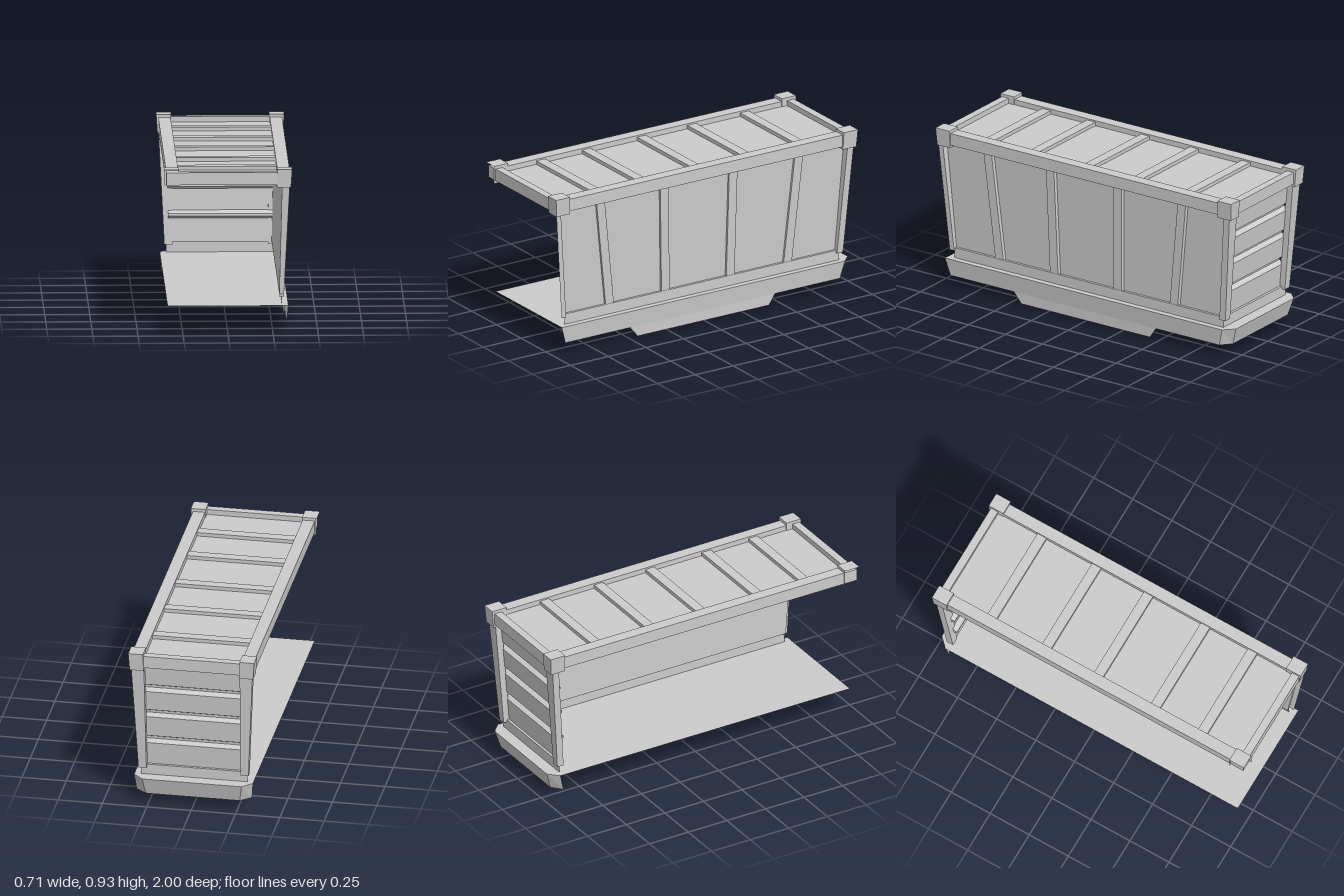
import * as THREE from 'three';

const lerp = (a, b, t) => a + (b - a) * t;
const mat = new THREE.MeshStandardMaterial({ color: 0xcccccc, flatShading: true, side: THREE.DoubleSide });

// Sheet stretched between successive rows of points
function sheet(name, rows) {
  const p = [];
  for (let r = 0; r < rows.length - 1; r++) {
    for (let i = 0; i < rows[r].length - 1; i++) {
      const a = rows[r][i], b = rows[r][i + 1], c = rows[r + 1][i + 1], d = rows[r + 1][i];
      p.push(...a, ...d, ...c, ...a, ...c, ...b);
    }
  }
  const g = new THREE.BufferGeometry();
  g.setAttribute('position', new THREE.Float32BufferAttribute(p, 3));
  g.computeVertexNormals();
  const m = new THREE.Mesh(g, mat);
  m.name = name;
  return m;
}

// Closed rectangle loop at height y, spanning [x0, x1, z0, z1]
const loop = (y, [x0, x1, z0, z1]) =>
  [[x0, y, z0], [x0, y, z1], [x1, y, z1], [x1, y, z0], [x0, y, z0]];

// Tapered block between two rectangles, capped at both ends
function block(name, y0, r0, y1, r1) {
  const mid = (y, r) => loop(y, [(r[0] + r[1]) / 2, (r[0] + r[1]) / 2, (r[2] + r[3]) / 2, (r[2] + r[3]) / 2]);
  return sheet(name, [mid(y0, r0), loop(y0, r0), loop(y1, r1), mid(y1, r1)]);
}

export function createModel() {
  const root = new THREE.Group();
  const add = (...a) => root.add(...a);

  // Wall levels and their outward lean
  const yB = 0.22, yT = 0.845;
  const t = y => (y - yB) / (yT - yB);
  const wallX = y => lerp(0.285, 0.30, t(y));
  const backZ = y => lerp(-0.895, -0.945, t(y));
  const frontZ = y => lerp(0.91, 0.965, t(y));

  // Floor with clipped back corners
  add(sheet('floor', [
    [[-0.335, 0.16, 0.95], [-0.335, 0.16, -0.925], [-0.28, 0.16, -0.98]],
    [[0.335, 0.16, 0.95], [0.335, 0.16, -0.925], [0.28, 0.16, -0.98]],
  ]));

  // Base skirt along the left side and the back
  add(sheet('baseSkirt', [
    [[0.335, 0.16, 0.95], [0.335, 0.16, -0.925], [0.28, 0.16, -0.98], [-0.28, 0.16, -0.98], [-0.335, 0.16, -0.925]],
    [[0.325, 0.06, 0.92], [0.325, 0.06, -0.90], [0.265, 0.06, -0.95], [-0.265, 0.06, -0.95], [-0.325, 0.06, -0.90]],
  ]));
  add(sheet('skirtFoot', [
    [[0.325, 0.06, 0.49], [0.325, 0.06, -0.47]],
    [[0.325, 0, 0.44], [0.325, 0, -0.43]],
  ]));

  // Low plinth with a small ledge under the walls
  const plinth = (y, x, z) => [[x, y, 0.91], [x, y, z], [-x, y, z]];
  add(sheet('plinth', [plinth(0.16, 0.30, -0.91), plinth(yB, 0.30, -0.91), plinth(yB, 0.285, -0.895)]));

  // Side wall
  add(sheet('sideWall', [yB, yT].map(y => [[wallX(y), y, frontZ(y)], [wallX(y), y, backZ(y)]])));

  // Side ribs fanning outward: [bottom z, top z] of the front edge
  for (const [zb, zt] of [[0.635, 0.705], [0.265, 0.282], [-0.165, -0.175], [-0.545, -0.61]]) {
    const rib = (y, z) => [
      [wallX(y), y, z], [wallX(y) + 0.013, y, z],
      [wallX(y) + 0.013, y, z - 0.054], [wallX(y), y, z - 0.062],
    ];
    add(sheet('sideRib', [rib(yB, zb), rib(yT, zt)]));
  }

  // Back wall with three horizontal grooves
  const profile = [[yB, 0]];
  for (const y of [0.35, 0.515, 0.675]) {
    profile.push([y, 0], [y + 0.016, 0.03], [y + 0.03, 0.03], [y + 0.046, 0]);
  }
  profile.push([yT, 0]);
  add(sheet('backWall', profile.map(([y, d]) =>
    [[-wallX(y), y, backZ(y) + d], [wallX(y), y, backZ(y) + d]])));

  // Corner posts
  for (const s of [1, -1]) {
    const span = (a, b) => s > 0 ? [a, b] : [-b, -a];
    add(block('backPost', 0.205, [...span(0.265, 0.31), -0.93, -0.89],
      0.84, [...span(0.27, 0.342), -0.98, -0.94]));
  }
  add(sheet('frontPost', [
    [[0.285, 0.205, 0.905], [0.31, 0.205, 0.905], [0.31, 0.205, 0.935]],
    [[0.30, 0.84, 0.96], [0.342, 0.84, 0.96], [0.342, 0.84, 0.99]],
  ]));

  // Top frame: fascia, flat rim and inner step
  const outer = [-0.343, 0.343, -0.985, 0.99], inner = [-0.275, 0.275, -0.94, 0.945];
  add(sheet('topFrame', [loop(yT, outer), loop(0.915, outer), loop(0.915, inner), loop(0.885, inner)]));
  add(sheet('rimUnderside', [
    [[0.343, yT, 0.99], [0.343, yT, -0.985], [-0.343, yT, -0.985]],
    [[0.30, yT, 0.965], [0.30, yT, -0.945], [-0.30, yT, -0.945]],
  ]));
  add(sheet('topPanel', [-0.275, 0.275].map(x => [[x, 0.885, -0.94], [x, 0.885, 0.945]])));

  // Cross ribs on the top
  for (const z of [-0.66, -0.31, 0.023, 0.388, 0.69]) {
    add(sheet('topRib', [-0.275, 0.275].map(x => [
      [x, 0.885, z - 0.029], [x, 0.906, z - 0.029], [x, 0.906, z + 0.029], [x, 0.885, z + 0.029],
    ])));
  }

  // Corner caps; the front right one is open on its outer sides
  for (const [sx, sz] of [[1, 1], [1, -1], [-1, -1]]) {
    const box = (o, i) => [
      Math.min(sx * o, sx * i), Math.max(sx * o, sx * i),
      Math.min(sz * (o + 0.645), sz * (i + 0.635)), Math.max(sz * (o + 0.645), sz * (i + 0.635)),
    ];
    add(block('cornerCap', 0.83, box(0.348, 0.27), 0.932, box(0.355, 0.272)));
  }
  add(sheet('openCornerCap', [
    [[-0.355, 0.932, 1], [-0.272, 0.932, 1]],
    [[-0.355, 0.932, 0.907], [-0.272, 0.932, 0.907]],
  ]));
  add(sheet('openCornerCapSides', [0.932, 0.83].map(y =>
    [[-0.35, y, 0.907], [-0.272, y, 0.907], [-0.272, y, 1]])));

  return root;
}
